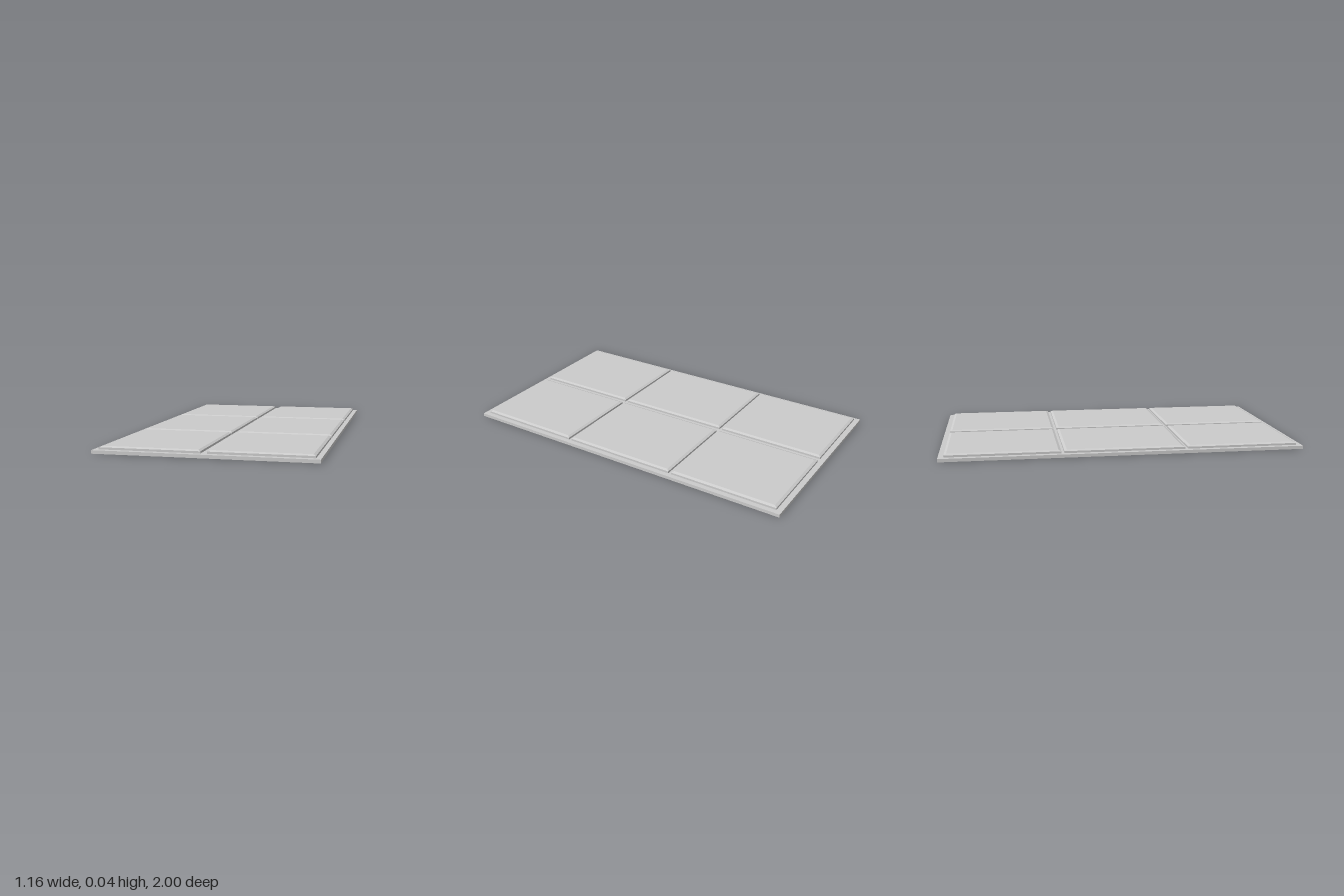
import * as THREE from 'three';

const material = new THREE.MeshStandardMaterial({ color: 0xcccccc, flatShading: true });

const BASE_H = 0.018;   // backing board thickness
const PANEL_H = 0.017;  // raised panel thickness
const EDGE_H = 0.011;   // upright part of the panel edge, below the chamfer
const CHAMFER = 0.014;  // inset of the panel's top face

// Box standing on y = 0 whose top edges are chamfered on all four sides
function chamferedPanel(w, d) {
  const geo = new THREE.BoxGeometry(w, PANEL_H, d, 1, 2, 1);
  geo.translate(0, PANEL_H / 2, 0);
  const p = geo.attributes.position;
  for (let i = 0; i < p.count; i++) {
    const y = p.getY(i);
    if (y > PANEL_H * 0.75) {
      p.setX(i, Math.sign(p.getX(i)) * (w / 2 - CHAMFER));
      p.setZ(i, Math.sign(p.getZ(i)) * (d / 2 - CHAMFER));
    } else if (y > PANEL_H * 0.25) {
      p.setY(i, EDGE_H);
    }
  }
  const flat = geo.toNonIndexed();
  flat.computeVertexNormals();
  return flat;
}

export function createModel() {
  const group = new THREE.Group();
  group.name = 'panelledBoard';

  // Backing board
  const board = new THREE.Mesh(new THREE.BoxGeometry(1.16, BASE_H, 2), material);
  board.name = 'backingBoard';
  board.position.y = BASE_H / 2;
  group.add(board);

  // Two columns by three rows of raised panels; the middle row is slightly longer
  const columns = [['right', -0.553, -0.017], ['left', 0.017, 0.553]];
  const rows = [['Back', -0.969, -0.349], ['Middle', -0.332, 0.332], ['Front', 0.349, 0.969]];
  for (const [side, x0, x1] of columns) {
    for (const [row, z0, z1] of rows) {
      const panel = new THREE.Mesh(chamferedPanel(x1 - x0, z1 - z0), material);
      panel.name = `${side}${row}Panel`;
      panel.position.set((x0 + x1) / 2, BASE_H, (z0 + z1) / 2);
      group.add(panel);
    }
  }
  return group;
}
